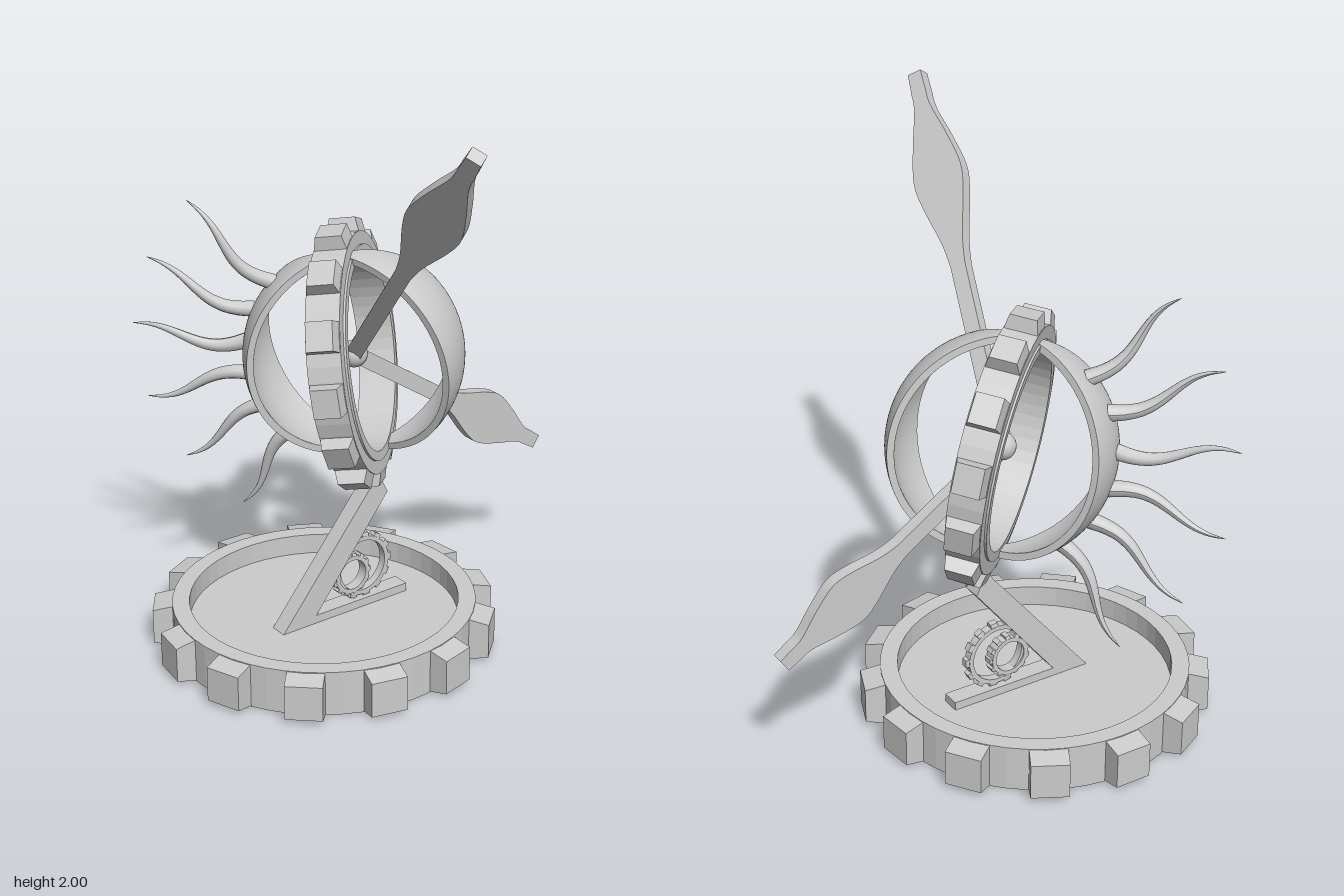
import * as THREE from 'three';
import { mergeGeometries } from 'three/addons/utils/BufferGeometryUtils.js';

const grey = new THREE.MeshStandardMaterial({ color: 0xcccccc, side: THREE.DoubleSide });
const vec = (x, y, z) => new THREE.Vector3(x, y, z);

function add(parent, name, geometry) {
  const mesh = new THREE.Mesh(geometry, grey);
  mesh.name = name;
  parent.add(mesh);
  return mesh;
}

// Extrudes a shape along z, centred on z = 0
function slab(shape, depth) {
  const g = new THREE.ExtrudeGeometry(shape, { depth, bevelEnabled: false, curveSegments: 26 });
  return g.translate(0, 0, -depth / 2);
}

// Flat round ring
function ring(outer, hole, depth) {
  const shape = new THREE.Shape().absarc(0, 0, outer, 0, Math.PI * 2, false);
  shape.holes.push(new THREE.Path().absarc(0, 0, hole, 0, Math.PI * 2, true));
  return slab(shape, depth);
}

// Ring with teeth that thin out towards their tips
function gear(outer, root, hole, depth) {
  const teeth = 13, start = root * 0.97;
  const parts = [ring(root, hole, depth)];
  for (let i = 0; i < teeth; i++) {
    const tooth = new THREE.BoxGeometry(outer - start, root * 0.24, depth).toNonIndexed();
    const pos = tooth.attributes.position;
    for (let k = 0; k < pos.count; k++) {
      if (pos.getX(k) > 0) pos.setZ(k, pos.getZ(k) * 0.78);
    }
    tooth.computeVertexNormals();
    tooth.translate((outer + start) / 2, 0, 0).rotateZ(i * Math.PI * 2 / teeth + 0.015);
    parts.push(tooth);
  }
  return mergeGeometries(parts);
}

// Wedge of a hollow sphere, poles on y, centred on +z
function lune(name, outer, inner, half) {
  const g = new THREE.Group();
  g.name = name;
  for (const r of [outer, inner]) {
    add(g, 'shellSurface', new THREE.SphereGeometry(r, 24, 40, Math.PI / 2 - half, half * 2));
  }
  const rim = new THREE.Shape();
  rim.absarc(0, 0, outer, -Math.PI / 2, Math.PI / 2, false);
  rim.absarc(0, 0, inner, Math.PI / 2, -Math.PI / 2, true);
  for (const s of [-1, 1]) {
    add(g, 'shellEdge', new THREE.ShapeGeometry(rim, 40)).rotation.y = s * half - Math.PI / 2;
  }
  return g;
}

// Leaf-shaped hand running along +y
function hand(length, stem, wide) {
  const s = new THREE.Shape();
  const side = [
    [stem, 0.47], [stem * 1.5, 0.54], [wide * 0.88, 0.65], [wide, 0.72],
    [wide * 0.72, 0.81], [stem * 1.15, 0.9], [stem, 0.95], [stem * 0.9, 1],
  ].map(([x, t]) => new THREE.Vector2(x, t * length));
  s.moveTo(-stem, 0);
  s.lineTo(stem, 0);
  s.lineTo(side[0].x, side[0].y);
  s.splineThru(side.slice(1));
  const back = side.map(p => new THREE.Vector2(-p.x, p.y)).reverse();
  s.lineTo(back[0].x, back[0].y);
  s.splineThru(back.slice(1));
  s.lineTo(-stem, 0);
  return slab(s, 0.045);
}

// Wavy ray fanned out in the yz plane, tapering to a point; upper rays bow to -x
function ray(angle) {
  const dir = vec(0, Math.sin(angle), -Math.cos(angle));
  const across = vec(0, Math.cos(angle), Math.sin(angle)).multiplyScalar(-Math.sign(angle));
  const bow = 0.016 * (1 + 1.2 * Math.sin(angle));
  const pts = [];
  for (let i = 0; i <= 8; i++) {
    const t = i / 8;
    const wave = 0.028 * Math.sin(t * Math.PI * 1.8) * (1 - 0.25 * t);
    const p = dir.clone().multiplyScalar(0.369 + 0.4 * t).addScaledVector(across, wave);
    p.x -= bow * Math.sin(t * Math.PI);
    pts.push(p);
  }
  const curve = new THREE.CatmullRomCurve3(pts);
  const segs = 24, sides = 10;
  const g = new THREE.TubeGeometry(curve, segs, 0.028, sides);
  const pos = g.attributes.position, p = vec(0, 0, 0);
  for (let i = 0; i < pos.count; i++) {
    const t = Math.floor(i / (sides + 1)) / segs;
    const c = curve.getPointAt(t);
    p.fromBufferAttribute(pos, i).sub(c).multiplyScalar(0.03 + 0.97 * Math.pow(1 - t, 0.8)).add(c);
    pos.setXYZ(i, p.x, p.y, p.z);
  }
  g.computeVertexNormals();
  return g;
}

// Orients an object so its y follows up and its z is as near as possible to face
function orient(obj, up, face) {
  const y = up.clone().normalize();
  const x = new THREE.Vector3().crossVectors(y, face).normalize();
  const z = new THREE.Vector3().crossVectors(x, y);
  obj.quaternion.setFromRotationMatrix(new THREE.Matrix4().makeBasis(x, y, z));
}

export function createModel() {
  const model = new THREE.Group();
  model.name = 'gearGlobe';

  // Toothed base with a sunken floor
  const base = new THREE.Group();
  base.name = 'base';
  base.position.set(-0.155, 0, -0.148);
  model.add(base);
  const rim = add(base, 'baseGear', gear(0.595, 0.53, 0.47, 0.16));
  rim.rotation.x = -Math.PI / 2;
  rim.position.y = 0.08;
  add(base, 'baseFloor', new THREE.CylinderGeometry(0.472, 0.472, 0.082, 64)).position.y = 0.044;

  // Bent support arm with its foot bar, and two small gears
  const stand = new THREE.Group();
  stand.name = 'stand';
  stand.position.set(0, 0, -0.207);
  stand.rotation.y = 0.39;
  model.add(stand);
  const outline = [
    [-0.385, 0.06], [0.02, 0.55], [0.043, 0.59], [0.085, 0.505],
    [-0.225, 0.115], [0.17, 0.115], [0.17, 0], [-0.36, 0],
  ].map(p => new THREE.Vector2(...p));
  add(stand, 'supportArm', slab(new THREE.Shape(outline), 0.065));
  add(stand, 'largeCog', gear(0.125, 0.112, 0.096, 0.03)).position.set(-0.01, 0.235, 0);
  add(stand, 'smallCog', gear(0.08, 0.071, 0.056, 0.04)).position.set(-0.057, 0.215, 0);

  // Tilted globe: local z is the ring axis, local y the poles
  const globe = new THREE.Group();
  globe.name = 'globe';
  globe.position.set(-0.025, 1.03, -0.22);
  orient(globe, vec(-0.19, 0.97, 0.07), vec(0.9, 0.14, 0.43));
  model.add(globe);
  add(globe, 'ringGear', gear(0.458, 0.413, 0.365, 0.115)).rotation.z = 0.07;
  add(globe, 'innerRing', ring(0.368, 0.335, 0.13));

  // Two opposite shells
  const half = THREE.MathUtils.degToRad(26.5);
  const turn = THREE.MathUtils.degToRad(2.5);
  const leftShell = lune('leftShell', 0.377, 0.353, half);
  leftShell.rotation.y = turn;
  const rightShell = lune('rightShell', 0.377, 0.353, half);
  rightShell.rotation.y = Math.PI + turn;
  globe.add(leftShell, rightShell);

  // Fan of rays on the right shell
  for (const deg of [-50, -30, -10, 10, 30, 50]) {
    add(globe, 'ray', ray(THREE.MathUtils.degToRad(deg + 2.5)));
  }

  // Hub and the two hands
  const hands = new THREE.Group();
  hands.name = 'hands';
  hands.position.copy(globe.position);
  model.add(hands);
  add(hands, 'hub', new THREE.SphereGeometry(0.047, 24, 16));
  const longHand = add(hands, 'longHand', hand(1.34, 0.028, 0.093));
  orient(longHand, vec(0.125, 0.95, 0.94), vec(0.64, 0.54, -0.62));
  const shortHand = add(hands, 'shortHand', hand(0.98, 0.028, 0.095));
  orient(shortHand, vec(0.755, -0.54, -0.31), vec(0.38, 0, 0.92));

  return model;
}
